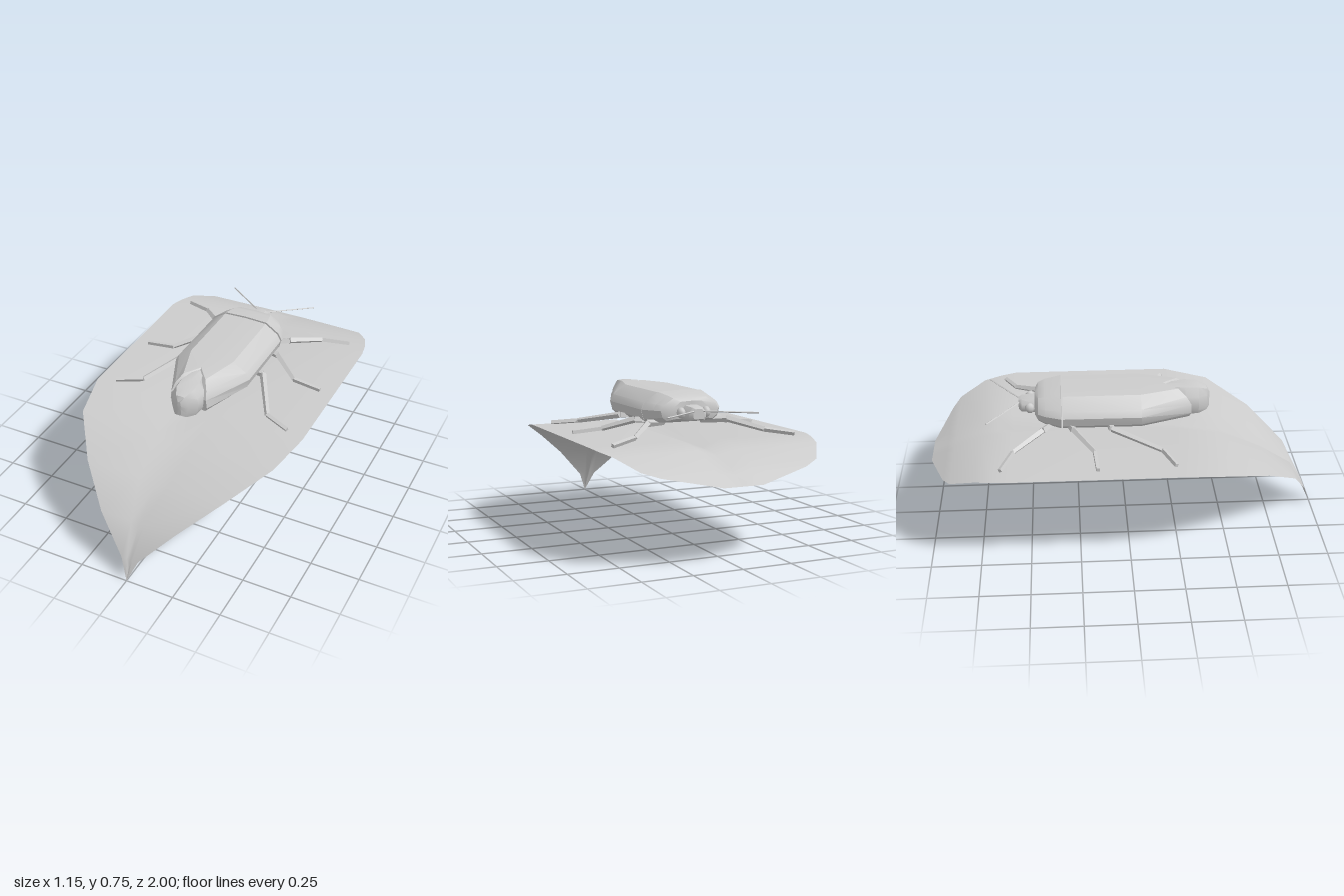
import * as THREE from 'three';
import { toCreasedNormals } from 'three/addons/utils/BufferGeometryUtils.js';

const grey = new THREE.MeshStandardMaterial({ color: 0xcccccc });
const thin = new THREE.MeshStandardMaterial({ color: 0xcccccc, side: THREE.DoubleSide });

function part(name, geometry, material = grey) {
  const mesh = new THREE.Mesh(geometry, material);
  mesh.name = name;
  return mesh;
}

function indexed(positions, index) {
  const g = new THREE.BufferGeometry();
  g.setAttribute('position', new THREE.Float32BufferAttribute(positions, 3));
  g.setIndex(index);
  g.computeVertexNormals();
  return g;
}

// Closed, capped loft; each ring lists its +x half from top to bottom and is mirrored.
function loft(halfRings, crease = 0.5) {
  const rings = halfRings.map(h => [...h, ...h.slice(1, -1).reverse().map(([x, y, z]) => [-x, y, z])]);
  const n = rings[0].length, last = rings.length - 1;
  const positions = rings.flat(2), index = [];
  for (let i = 0; i < last; i++) {
    for (let j = 0; j < n; j++) {
      const a = i * n + j, b = i * n + (j + 1) % n;
      index.push(a, a + n, b, b, a + n, b + n);
    }
  }
  for (const [r, flip] of [[0, false], [last, true]]) {
    const c = positions.length / 3;
    const ring = rings[r];
    positions.push(...[0, 1, 2].map(k => ring.reduce((s, p) => s + p[k], 0) / n));
    for (let j = 0; j < n; j++) {
      const a = r * n + j, b = r * n + (j + 1) % n;
      index.push(c, flip ? b : a, flip ? a : b);
    }
  }
  return toCreasedNormals(indexed(positions, index), crease);
}

// Tapered bar between two points
function bar(name, from, to, r0, r1, sides = 4) {
  const a = new THREE.Vector3(...from), b = new THREE.Vector3(...to);
  const dir = b.clone().sub(a);
  const g = toCreasedNormals(new THREE.CylinderGeometry(r1, r0, dir.length(), sides, 1), 0.5);
  g.rotateY(Math.PI / 4);
  const mesh = part(name, g);
  mesh.position.copy(a).add(b).multiplyScalar(0.5);
  mesh.quaternion.setFromUnitVectors(new THREE.Vector3(0, 1, 0), dir.normalize());
  return mesh;
}

// Leaf blade: flat sides with a V groove along the midrib, drooping at both ends
function leaf() {
  // z, half width, blade height, groove half width, midrib height
  const rows = [
    [-1, 0.1, 0.38, 0.05, 0.38], [-0.92, 0.37, 0.43, 0.09, 0.42],
    [-0.88, 0.45, 0.455, 0.1, 0.44], [-0.75, 0.53, 0.51, 0.1, 0.48],
    [-0.66, 0.56, 0.522, 0.1, 0.49], [-0.58, 0.575, 0.53, 0.1, 0.493],
    [0.25, 0.575, 0.53, 0.1, 0.493], [0.48, 0.525, 0.495, 0.1, 0.458],
    [0.7, 0.37, 0.395, 0.08, 0.355], [0.87, 0.2, 0.265, 0.035, 0.23],
    [0.96, 0.045, 0.105, 0.015, 0.085], [1, 0, 0, 0, 0],
  ];
  const positions = [], index = [];
  rows.forEach(([z, w, y, g, m], i) => {
    positions.push(-w, y, z, -g, y, z, 0, m, z, g, y, z, w, y, z);
    if (i === rows.length - 1) return;
    for (let j = 0; j < 4; j++) {
      const a = i * 5 + j;
      index.push(a, a + 5, a + 1, a + 1, a + 5, a + 6);
    }
  });
  return part('leaf', indexed(positions, index), thin);
}

// Shared body cross-section, scaled in width and between a lower and upper height
const section = [[0, 1], [0.57, 0.97], [0.91, 0.67], [1, 0.45], [0.94, 0.16], [0.8, 0], [0, 0]];
const ring = (z, w, y0, y1) => section.map(([x, y]) => [x * w, y0 + y * (y1 - y0), z]);

export function createModel() {
  const model = new THREE.Group();
  model.name = 'beetleOnLeaf';
  model.add(leaf());

  const beetle = new THREE.Group();
  beetle.name = 'beetle';
  model.add(beetle);

  // Wing cases end in two points with a notch between them
  beetle.add(part('wingCases', loft([
    ring(-0.322, 0.205, 0.585, 0.742),
    ring(0.07, 0.207, 0.585, 0.742),
    [[0, 0.742, 0.19], [0.06, 0.736, 0.265], [0.085, 0.7, 0.305], [0.095, 0.66, 0.33],
      [0.1, 0.615, 0.33], [0.085, 0.59, 0.32], [0, 0.588, 0.31]],
  ])));
  beetle.add(part('abdomenTip', loft([
    ring(0.17, 0.02, 0.6, 0.735), ring(0.3, 0.083, 0.592, 0.738),
    ring(0.37, 0.075, 0.592, 0.734), ring(0.415, 0.04, 0.598, 0.715),
    ring(0.43, 0.012, 0.61, 0.69),
  ])));
  beetle.add(part('thorax', loft([
    ring(-0.462, 0.1, 0.62, 0.705), ring(-0.445, 0.155, 0.61, 0.722),
    ring(-0.41, 0.18, 0.6, 0.733), ring(-0.33, 0.207, 0.585, 0.745),
  ])));
  beetle.add(part('head', loft([
    ring(-0.545, 0.03, 0.625, 0.675), ring(-0.53, 0.046, 0.617, 0.682),
    ring(-0.45, 0.06, 0.615, 0.687),
  ])));

  // Hip, knee, ankle and foot of each leg
  const legs = {
    front: [[0.1, 0.592, -0.36], [0.215, 0.602, -0.425], [0.345, 0.56, -0.57], [0.48, 0.54, -0.63]],
    middle: [[0.1, 0.592, -0.31], [0.215, 0.602, -0.27], [0.35, 0.552, -0.17], [0.5, 0.54, -0.16]],
    hind: [[0.1, 0.592, -0.1], [0.215, 0.602, -0.08], [0.35, 0.55, 0.165], [0.48, 0.54, 0.22]],
  };
  for (const side of [1, -1]) {
    const label = side > 0 ? 'left' : 'right';
    const m = ([x, y, z]) => [x * side, y, z];
    for (const [name, [hip, knee, ankle, foot]] of Object.entries(legs)) {
      const leg = new THREE.Group();
      leg.name = `${label} ${name} leg`;
      leg.add(bar('thigh', m(hip), m(knee), 0.013, 0.018));
      leg.add(bar('shin', m(knee), m(ankle), 0.017, 0.013));
      leg.add(bar('foot', m(ankle), m(foot), 0.013, 0.012));
      beetle.add(leg);
    }
    beetle.add(bar(`${label} antenna`, m([0.015, 0.662, -0.535]), m([0.24, 0.662, -0.7]), 0.004, 0.004));
    const eye = part(`${label} eye`, new THREE.SphereGeometry(0.025, 8, 6));
    eye.position.set(0.067 * side, 0.652, -0.488);
    eye.scale.set(0.9, 1.1, 1);
    beetle.add(eye);
  }
  return model;
}
